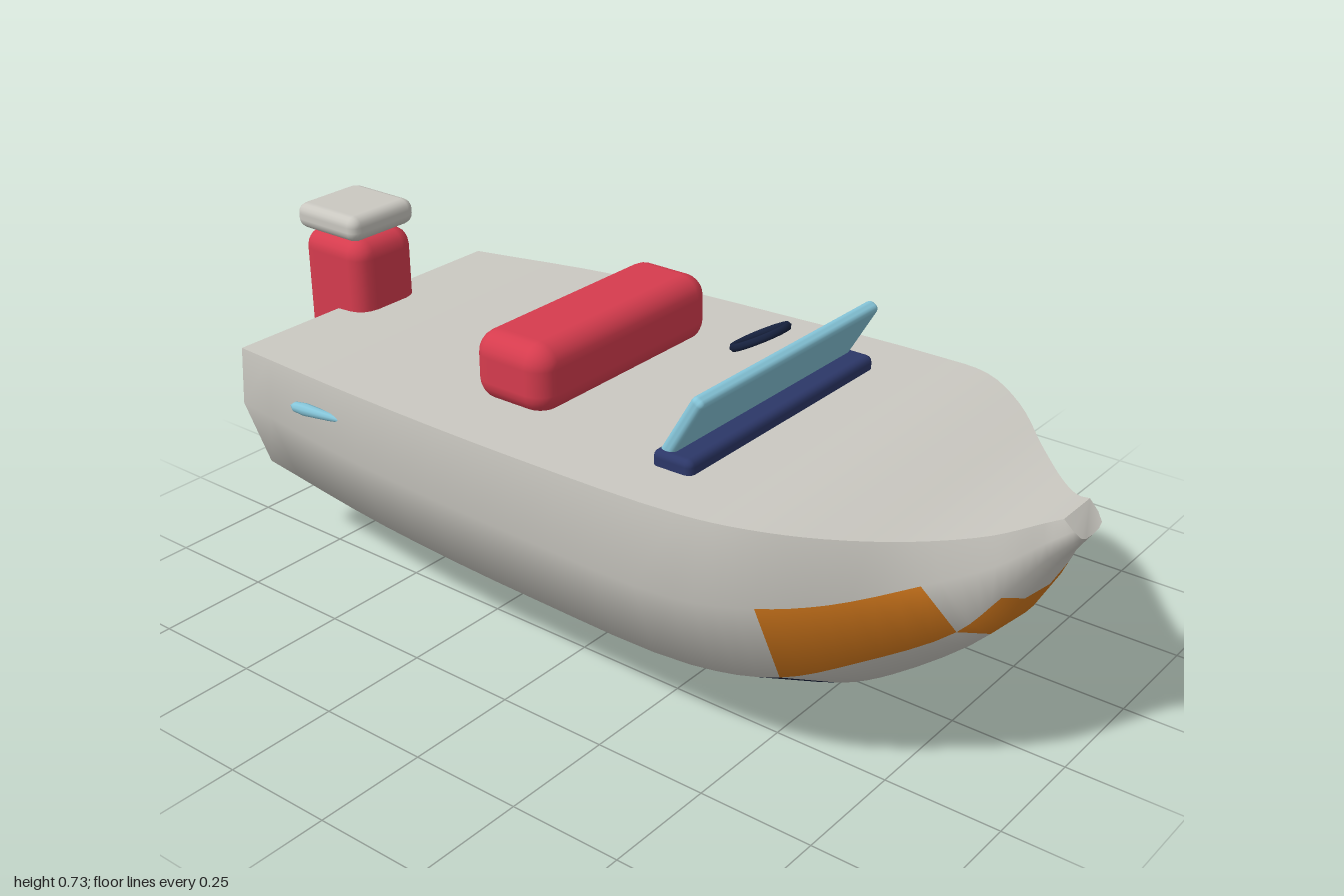
import * as THREE from 'three';
import { RoundedBoxGeometry } from 'three/addons/geometries/RoundedBoxGeometry.js';

function makeMaterial(name, color, side = THREE.FrontSide) {
  const m = new THREE.MeshStandardMaterial({ color, side });
  m.name = name;
  return m;
}

export function createModel() {
  const grey = makeMaterial('hull grey', 0xcac8c1);
  const navy = makeMaterial('dark navy', 0x17223f);
  const blue = makeMaterial('trim blue', 0x2c3768);
  const orange = makeMaterial('bow orange', 0xd0771c);
  const red = makeMaterial('seat red', 0xd63c4e);
  const glass = makeMaterial('screen blue', 0x86c6da);
  const gold = makeMaterial('propeller gold', 0xcca22e);

  const model = new THREE.Group();
  model.name = 'motorboat';

  function add(name, geometry, material, x = 0, y = 0, z = 0, parent = model) {
    const mesh = new THREE.Mesh(geometry, material);
    mesh.name = name;
    mesh.position.set(x, y, z);
    parent.add(mesh);
    return mesh;
  }

  // Hull lines running from stern to bow, one curve per row: x, y, z
  const lines = [
    // gunwale
    [[.38, .5, -.87], [.43, .522, -.45], [.45, .533, 0], [.448, .544, .4], [.425, .55, .54],
      [.355, .54, .655], [.24, .524, .77], [.135, .525, .87], [.068, .543, .935], [.05, .555, .965]],
    // widest line
    [[.39, .37, -.87], [.442, .37, -.45], [.463, .37, 0], [.465, .375, .4], [.435, .4, .565],
      [.37, .42, .68], [.255, .45, .8], [.15, .475, .89], [.075, .508, .945], [.048, .535, .985]],
    // chine
    [[.33, .2, -.87], [.38, .195, -.45], [.4, .19, 0], [.4, .195, .4], [.375, .23, .585],
      [.318, .285, .715], [.22, .36, .86], [.155, .42, .91], [.075, .48, .955], [.04, .521, .998]],
    // bottom
    [[.18, .12, -.87], [.2, .1, -.45], [.21, .08, 0], [.21, .088, .4], [.2, .135, .605],
      [.175, .185, .71], [.115, .31, .875], [.085, .39, .922], [.045, .46, .96], [.025, .515, 1]],
    // keel
    [[0, .11, -.87], [0, .09, -.45], [0, .07, 0], [0, .079, .4], [0, .125, .615],
      [0, .172, .715], [0, .305, .885], [0, .383, .928], [0, .455, .962], [0, .513, 1]],
  ].map(pts => new THREE.CatmullRomCurve3(pts.map(p => new THREE.Vector3(...p))));

  const STEP = 4, SEGMENTS = 9 * STEP, ROWS = 9;
  const positions = [];
  for (let i = 0; i <= SEGMENTS; i++) {
    for (let j = 0; j < ROWS; j++) {
      const p = lines[Math.min(j, 8 - j)].getPoint(i / SEGMENTS);
      positions.push(j > 4 ? -p.x : p.x, p.y, p.z);
    }
  }
  const id = (i, j) => i * ROWS + j;

  function surface(indices) {
    const g = new THREE.BufferGeometry();
    g.setAttribute('position', new THREE.Float32BufferAttribute(positions, 3));
    g.setIndex(indices);
    return g;
  }

  // Paint by strip (0 topside, 1 side, 2 bilge, 3 bottom) and section
  function paint(strip, section) {
    if (strip === 1 && (section === 4 || section === 5)) return 2;
    if (strip >= 2 && section === 6) return 2;
    if (strip === 2 && section < 4) return 1;
    if (strip === 3 && section < 5) return 1;
    return 0;
  }
  const buckets = [[], [], []];
  for (let i = 0; i < SEGMENTS; i++) {
    for (let j = 0; j < ROWS - 1; j++) {
      const a = id(i, j), b = id(i, j + 1), c = id(i + 1, j + 1), d = id(i + 1, j);
      buckets[paint(Math.min(j, 7 - j), Math.floor(i / STEP))].push(a, d, c, a, c, b);
    }
  }
  const hull = surface(buckets.flat());
  let start = 0;
  buckets.forEach((b, k) => {
    hull.addGroup(start, b.length, k);
    start += b.length;
  });
  hull.computeVertexNormals();
  add('hull', hull, [grey, navy, orange]);

  // Deck and the flat ends, kept separate for crisp edges
  const deckIndex = [], transomIndex = [], bowIndex = [];
  for (let i = 0; i < SEGMENTS; i++) {
    const l = id(i, 0), r = id(i, 8), l2 = id(i + 1, 0), r2 = id(i + 1, 8);
    deckIndex.push(r, r2, l, r2, l2, l);
  }
  for (let j = 1; j < ROWS - 1; j++) {
    transomIndex.push(id(0, 0), id(0, j), id(0, j + 1));
    bowIndex.push(id(SEGMENTS, 0), id(SEGMENTS, j + 1), id(SEGMENTS, j));
  }
  for (const [name, index] of [['deck', deckIndex], ['transom', transomIndex], ['bowTip', bowIndex]]) {
    const g = surface(index);
    g.computeVertexNormals();
    add(name, g, grey);
  }

  // Windscreen leaning forward on its base
  add('windscreenBase', new RoundedBoxGeometry(.635, .045, .095, 2, .015), blue, 0, .549, .282);
  add('windscreen', new RoundedBoxGeometry(.61, .17, .03, 2, .012), glass, 0, .623, .292).rotation.x = .53;

  // Steering wheel and bench
  add('steeringWheel', new THREE.TorusGeometry(.06, .009, 6, 24), navy, .125, .636, .171).rotation.x = -2.07;
  add('seat', new RoundedBoxGeometry(.56, .155, .2, 3, .05), red, 0, .592, -.17);

  // Slim teardrop fittings on both sides
  const drop = new THREE.LatheGeometry(
    [[0, -.092], [.011, -.078], [.014, -.05], [.009, .02], [0, .092]].map(p => new THREE.Vector2(...p)), 10);
  drop.rotateX(Math.PI / 2);
  for (const s of [1, -1]) {
    add(s > 0 ? 'leftSideFitting' : 'rightSideFitting', drop, glass, s * .428, .446, -.563).rotation.y = -s * .11;
  }

  // Outboard motor
  const motor = new THREE.Group();
  motor.name = 'outboardMotor';
  model.add(motor);
  add('motorBody', new RoundedBoxGeometry(.18, .3, .2, 2, .045), red, 0, .522, -.885, motor);
  add('motorCap', new RoundedBoxGeometry(.195, .06, .195, 2, .024), grey, 0, .704, -.887, motor);
  add('motorLeg', new THREE.CylinderGeometry(.023, .018, .31, 8), navy, 0, .245, -.91, motor).rotation.x = .06;

  // Propeller with three pitched blades
  const propeller = new THREE.Group();
  propeller.name = 'propeller';
  propeller.position.set(0, .106, -.965);
  motor.add(propeller);
  const hub = new THREE.SphereGeometry(.03, 10, 8);
  hub.scale(.9, .9, 1.15);
  add('propellerHub', hub, gold, 0, 0, 0, propeller);
  const blade = new THREE.SphereGeometry(1, 10, 8);
  blade.scale(.055, .024, .01);
  blade.rotateX(.5);
  blade.translate(.067, 0, 0);
  for (let k = 0; k < 3; k++) {
    add('propellerBlade', blade, gold, 0, 0, 0, propeller).rotation.z = k * Math.PI * 2 / 3;
  }
  return model;
}
